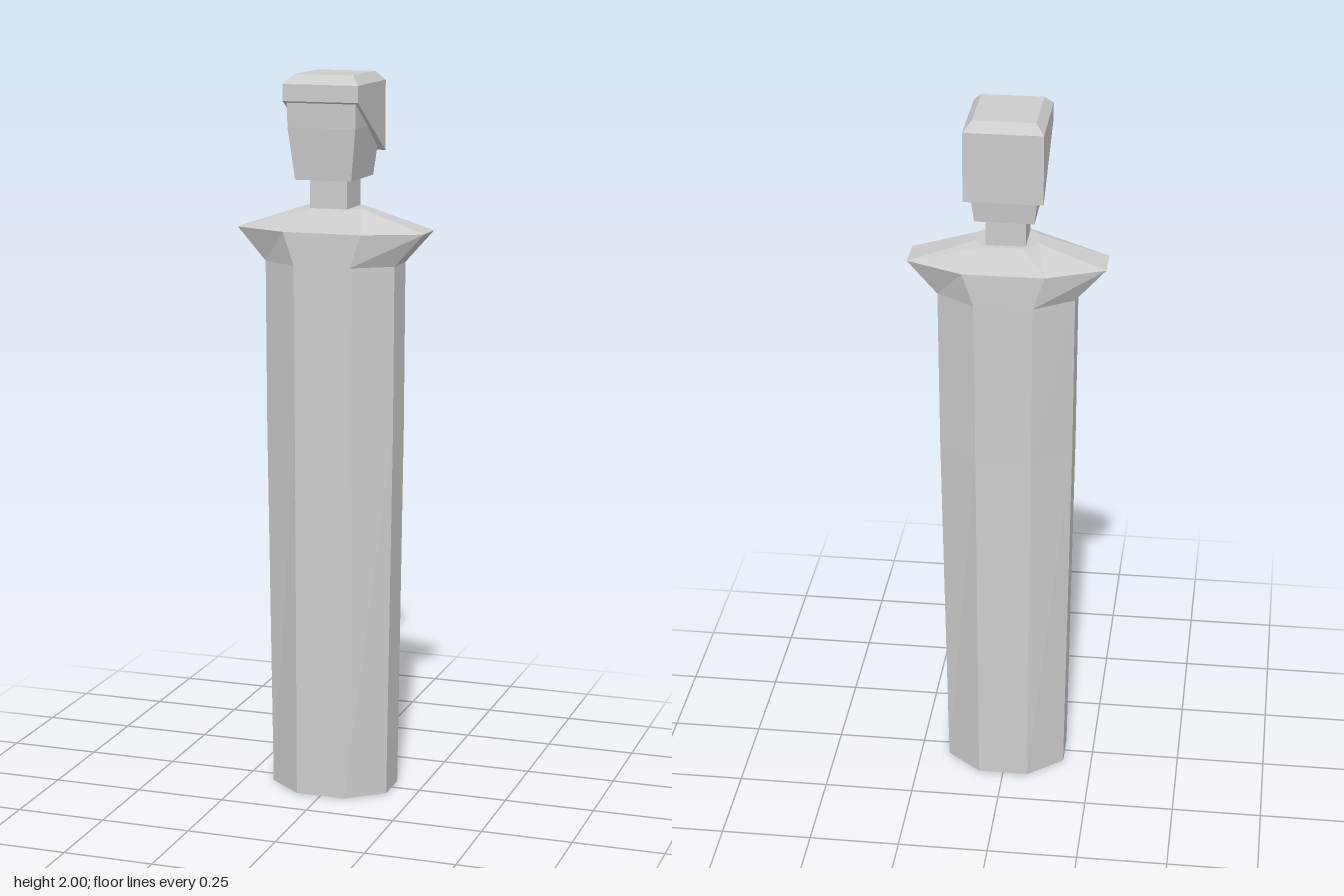
import * as THREE from 'three';

const grey = new THREE.MeshStandardMaterial({ color: 0xcccccc, flatShading: true, side: THREE.DoubleSide });
grey.name = 'plain grey';

// Skin a stack of rings (listed bottom to top, each anticlockwise seen from above).
function loft(name, rings, capBottom, capTop) {
  const pos = [];
  const tri = (a, b, c) => pos.push(...a, ...b, ...c);
  const n = rings[0].length;
  for (let r = 0; r < rings.length - 1; r++) {
    const a = rings[r], b = rings[r + 1];
    for (let i = 0; i < n; i++) {
      const j = (i + 1) % n;
      tri(a[i], a[j], b[j]);
      tri(a[i], b[j], b[i]);
    }
  }
  const low = rings[0], high = rings[rings.length - 1];
  for (let i = 1; i < n - 1; i++) {
    if (capBottom) tri(low[0], low[i + 1], low[i]);
    if (capTop) tri(high[0], high[i], high[i + 1]);
  }
  const g = new THREE.BufferGeometry();
  g.setAttribute('position', new THREE.Float32BufferAttribute(pos, 3));
  g.computeVertexNormals();
  const mesh = new THREE.Mesh(g, grey);
  mesh.name = name;
  return mesh;
}

// Eight-sided ring: outer half width, side panel half depth, front panel half width, half depth.
const octagon = (y, x, sideZ, frontX, z) => [
  [x, y, sideZ], [x, y, -sideZ], [frontX, y, -z], [-frontX, y, -z],
  [-x, y, -sideZ], [-x, y, sideZ], [-frontX, y, z], [frontX, y, z],
];

// Four-sided ring whose front and back edges may sit at different heights.
const rectangle = (frontY, backY, x, zFront, zBack) => [
  [x, frontY, zFront], [x, backY, zBack], [-x, backY, zBack], [-x, frontY, zFront],
];

export function createModel() {
  const model = new THREE.Group();
  model.name = 'figure';

  // Long robe, open underneath, flaring into pointed shoulders
  model.add(loft('robe', [
    octagon(0, 0.168, 0.052, 0.07, 0.131),
    octagon(1.03, 0.182, 0.05, 0.076, 0.12),
    octagon(1.49, 0.184, 0.05, 0.079, 0.118),
  ], false, false));
  model.add(loft('shoulders', [
    octagon(1.49, 0.184, 0.05, 0.079, 0.118),
    octagon(1.58, 0.265, 0.048, 0.11, 0.116),
    octagon(1.64, 0.085, 0.028, 0.05, 0.067),
  ], false, true));

  // Neck
  const neck = new THREE.Mesh(new THREE.BoxGeometry(0.106, 0.11, 0.112), grey);
  neck.position.set(0, 1.68, 0.002);
  neck.name = 'neck';
  model.add(neck);

  // Head, narrowing towards the chin
  model.add(loft('head', [
    rectangle(1.72, 1.72, 0.079, 0.103, -0.088),
    rectangle(1.86, 1.86, 0.095, 0.117, -0.104),
    rectangle(1.95, 1.95, 0.097, 0.119, -0.106),
  ], true, true));

  // Hair with a slanted lower edge and bevelled top
  model.add(loft('hair', [
    rectangle(1.93, 1.785, 0.105, 0.126, -0.115),
    rectangle(1.975, 1.975, 0.105, 0.126, -0.115),
    rectangle(2, 2, 0.083, 0.099, -0.09),
  ], true, true));

  return model;
}
